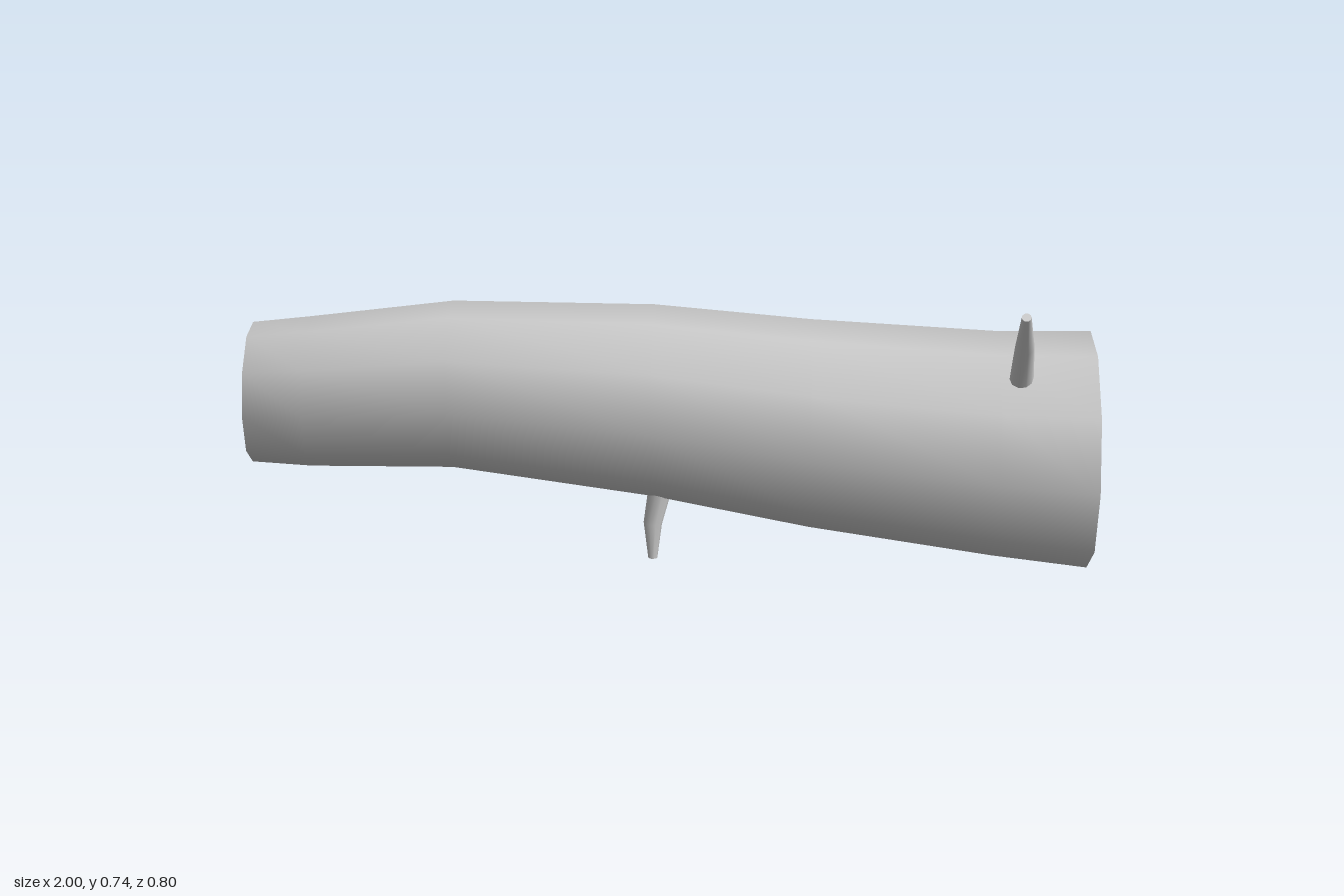
import * as THREE from 'three';

const V = (x, y, z) => new THREE.Vector3(x, y, z);
const X = V(1, 0, 0), Z = V(0, 0, 1);

// Ring of n points around a centre, perpendicular to dir; ref fixes the first corner
function ring(c, dir, ref, r, n) {
  const u = ref.clone().addScaledVector(dir, -ref.dot(dir)).normalize();
  const v = u.clone().cross(dir);
  return Array.from({ length: n }, (_, j) => {
    const a = (j / n) * Math.PI * 2;
    return c.clone().addScaledVector(u, r * Math.cos(a)).addScaledVector(v, r * Math.sin(a));
  });
}

// Smooth skin over consecutive rings
function loft(name, rings, material) {
  const n = rings[0].length, index = [];
  for (let i = 0; i < rings.length - 1; i++) {
    for (let j = 0; j < n; j++) {
      const k = (j + 1) % n;
      const a = i * n + j, b = a + n, c = i * n + k, d = c + n;
      index.push(a, b, c, c, b, d);
    }
  }
  const g = new THREE.BufferGeometry().setFromPoints(rings.flat());
  g.setIndex(index);
  g.computeVertexNormals();
  const mesh = new THREE.Mesh(g, material);
  mesh.name = name;
  return mesh;
}

export function createModel() {
  const model = new THREE.Group();
  model.name = 'hollowLog';
  const mat = new THREE.MeshStandardMaterial({ color: 0xcccccc });
  const section = ([x, y, z, r]) => ring(V(x, y, z), X, Z, r, 10);

  // Trunk sections: x, y, z, radius
  const trunk = [
    [-1, 0.335, -0.145, 0.17],
    [-0.85, 0.355, -0.103, 0.181],
    [-0.5, 0.401, -0.042, 0.199],
    [-0.02, 0.381, 0, 0.228],
    [0.35, 0.343, 0.04, 0.246],
    [0.78, 0.318, 0.092, 0.264],
    [1, 0.318, 0.123, 0.277],
  ];
  model.add(loft('trunk', trunk.map(section), mat));

  // Rim, recess wall and recess floor at each end
  const ends = [
    { name: 'narrowEnd', s: trunk[0], mouth: 0.13, floor: 0.126, depth: 0.15 },
    { name: 'wideEnd', s: trunk[6], mouth: 0.2275, floor: 0.22, depth: -0.15 },
  ];
  for (const { name, s: [x, y, z, r], mouth, floor, depth } of ends) {
    const group = new THREE.Group();
    group.name = name;
    const profile = [[x, y, z, r], [x, y, z, mouth], [x + depth, y, z, floor], [x + depth, y, z, 0]];
    ['rim', 'recessWall', 'recessFloor'].forEach((part, i) => {
      const pair = [section(profile[i]), section(profile[i + 1])];
      if (depth > 0) pair.reverse();
      group.add(loft(part, pair, mat));
    });
    model.add(group);
  }

  // Tapered twigs: base, bend and tip
  const twigs = [
    { name: 'upperTwig', size: 1, path: [V(0.828, 0.5, 0.205), V(0.823, 0.64, 0.31), V(0.817, 0.737, 0.385)] },
    { name: 'lowerTwig', size: 1, path: [V(0, 0.19, 0.05), V(-0.02, 0.09, 0.06), V(-0.02, 0.002, 0.065)] },
    { name: 'backTwig', size: 1, path: [V(-0.567, 0.347, -0.2), V(-0.555, 0.333, -0.32), V(-0.556, 0.311, -0.398)] },
    { name: 'smallTwig', size: 0.8, path: [V(-0.793, 0.225, -0.19), V(-0.8, 0.155, -0.257), V(-0.806, 0.104, -0.3)] },
  ];
  const radii = [0.029, 0.022, 0.011];
  for (const { name, size, path } of twigs) {
    const dirs = path.map((_, i) =>
      path[Math.min(i + 1, 2)].clone().sub(path[Math.max(i - 1, 0)]).normalize());
    const rings = path.map((p, i) => ring(p, dirs[i], X, radii[i] * size, 10));
    const group = new THREE.Group();
    group.name = name;
    group.add(loft('shaft', rings, mat));
    group.add(loft('tip', [rings[2], ring(path[2], dirs[2], X, 0, 10)], mat));
    model.add(group);
  }
  return model;
}
